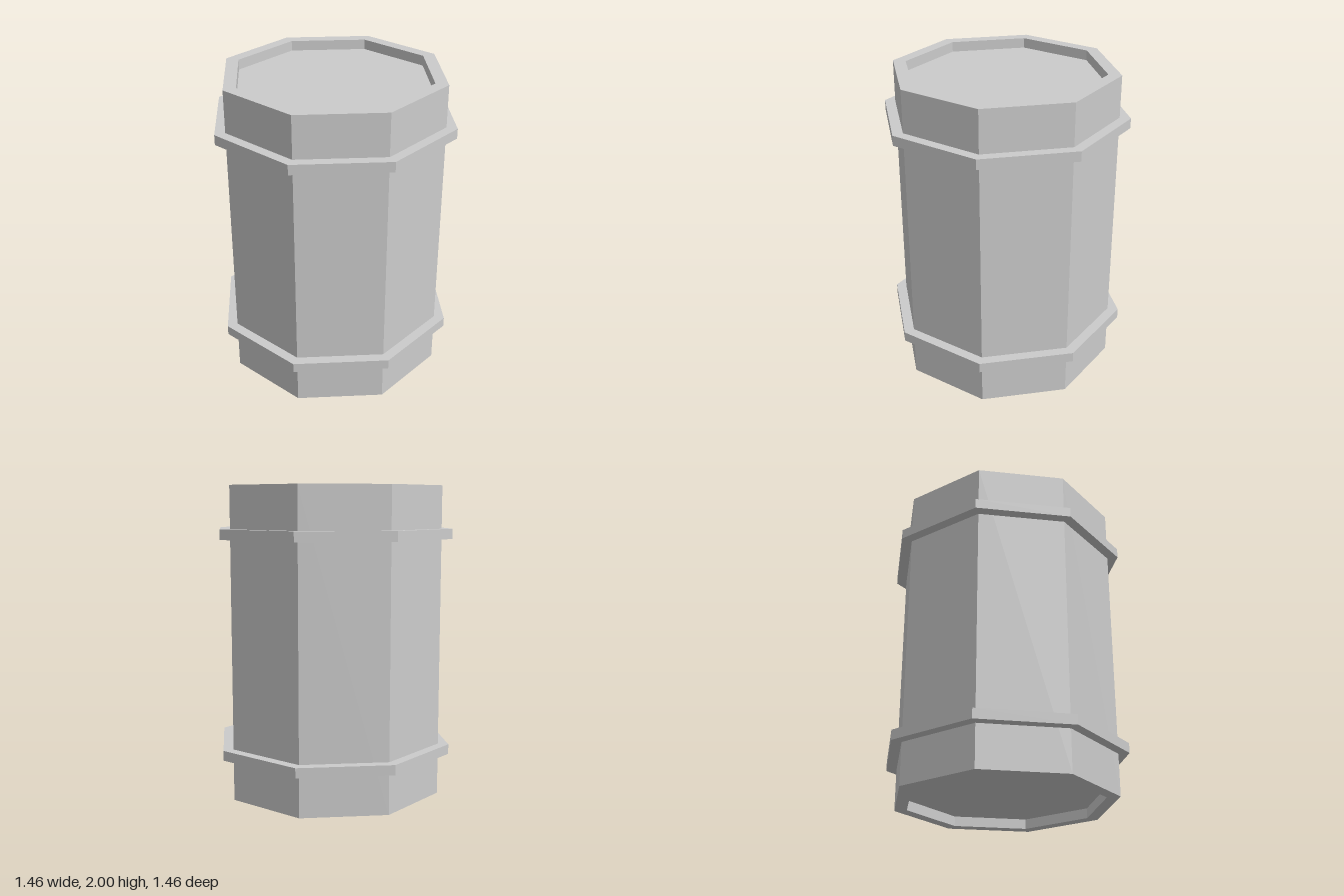
import * as THREE from 'three';

const SIDES = 8;
const material = new THREE.MeshStandardMaterial({ color: 0xcccccc, flatShading: true });

// Turns a profile of [apothem, y] points into a faceted octagonal solid, flat sides to the front
function octagonal(name, profile) {
  const toCorner = 1 / Math.cos(Math.PI / SIDES);
  const points = profile.map(([a, y]) => new THREE.Vector2(a * toCorner, y));
  const geometry = new THREE.LatheGeometry(points, SIDES, Math.PI / SIDES).toNonIndexed();
  geometry.computeVertexNormals();
  const mesh = new THREE.Mesh(geometry, material);
  mesh.name = name;
  return mesh;
}

export function createModel() {
  const model = new THREE.Group();
  model.name = 'barrel';

  const outer = 0.664, rim = 0.587, hoopOuter = 0.728;
  const height = 2, recess = 0.065, hoopHeight = 0.064;

  // Body with a recessed lid and base
  model.add(octagonal('body', [
    [0, recess], [rim, recess], [rim, 0], [outer, 0],
    [outer, height], [rim, height], [rim, height - recess], [0, height - recess],
  ]));

  // Hoops, mirrored about mid-height
  for (const [name, y] of [['lowerHoop', 0.302], ['upperHoop', height - 0.302]]) {
    const y0 = y - hoopHeight / 2, y1 = y + hoopHeight / 2;
    model.add(octagonal(name, [[outer, y0], [hoopOuter, y0], [hoopOuter, y1], [outer, y1]]));
  }

  return model;
}
